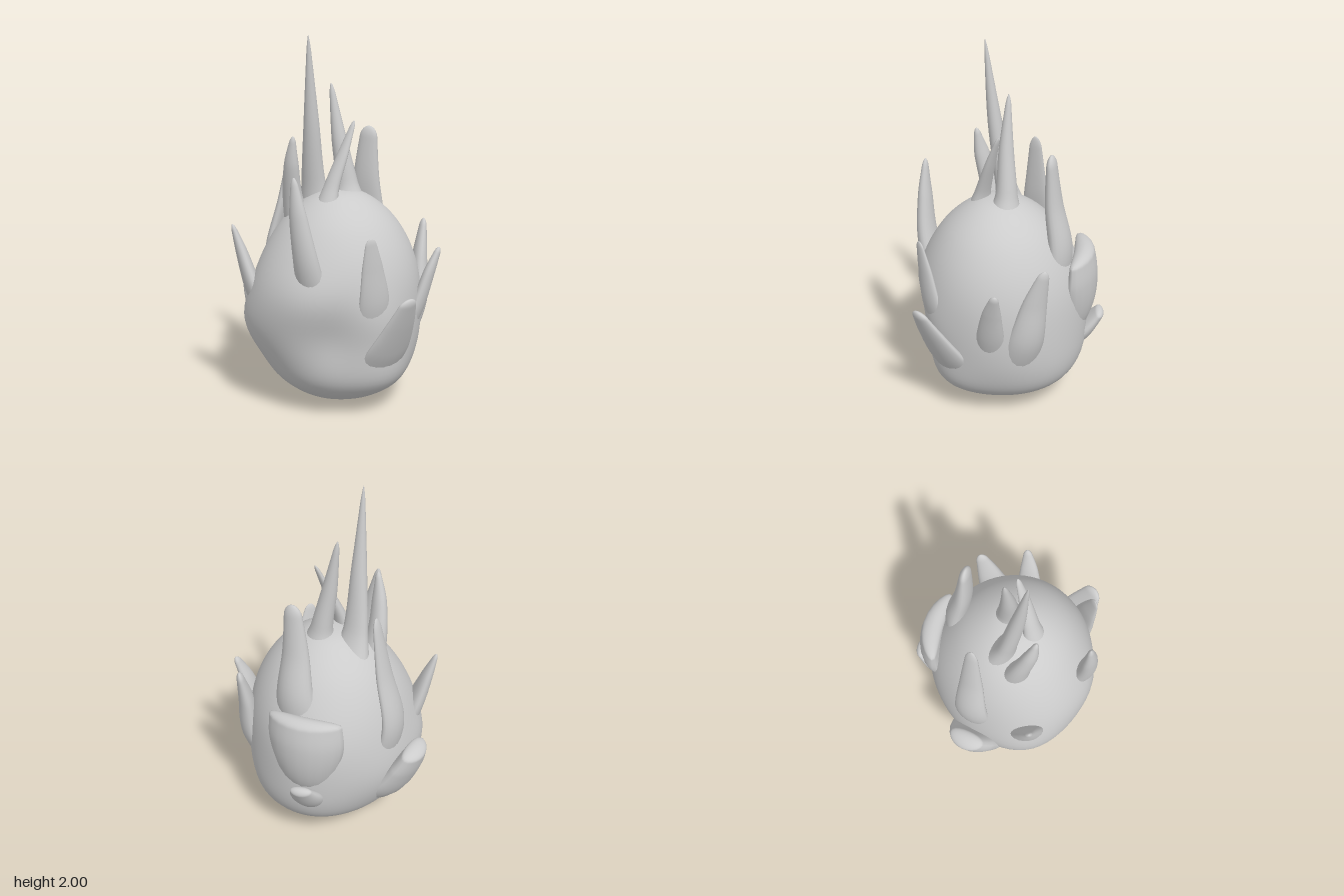
import * as THREE from 'three';
import { mergeVertices } from 'three/addons/utils/BufferGeometryUtils.js';

const V = (x, y, z) => new THREE.Vector3(x, y, z);
const material = new THREE.MeshStandardMaterial({ color: 0xcccccc, roughness: 0.8 });

// Lathed fruit body, pushed outward by soft bumps: [x, y, z, amount, spread]
function bodyGeometry() {
  const profile = new THREE.SplineCurve([
    [0, 0.003], [0.07, 0.01], [0.14, 0.035], [0.25, 0.085], [0.355, 0.18], [0.41, 0.32], [0.435, 0.5],
    [0.43, 0.7], [0.39, 0.86], [0.315, 1.0], [0.22, 1.1], [0.11, 1.165], [0, 1.18],
  ].map(([r, y]) => new THREE.Vector2(r, y)));
  const points = profile.getPoints(60).map((p) => p.setX(Math.max(p.x, 0)));
  let geo = new THREE.LatheGeometry(points, 72);
  const bumps = [
    [-0.1, 0.6, 0.43, 0.05, 0.2], [-0.26, 0.46, 0.36, 0.05, 0.13], [-0.43, 0.42, 0.1, 0.045, 0.18],
    [-0.3, 0.6, -0.31, 0.04, 0.2], [-0.25, 0.25, -0.3, 0.05, 0.16], [0, 0.2, -0.36, 0.03, 0.14],
    [0.12, 0.35, -0.42, 0.02, 0.2], [0.3, 0.45, 0.31, -0.045, 0.13], [0.36, 0.2, 0, 0.035, 0.12],
    [0.2, 0.65, 0.38, 0.025, 0.12], [0.42, 0.55, 0.09, 0.015, 0.1],
  ];
  const pos = geo.attributes.position;
  const p = V();
  for (let i = 0; i < pos.count; i++) {
    p.fromBufferAttribute(pos, i);
    let push = 0;
    for (const [x, y, z, amount, spread] of bumps) {
      push += amount * Math.exp(-p.distanceToSquared(V(x, y, z)) / (2 * spread * spread));
    }
    const r = Math.hypot(p.x, p.z);
    if (r > 1e-4) pos.setXYZ(i, p.x * (1 + push / r), p.y, p.z * (1 + push / r));
  }
  geo.deleteAttribute('uv');
  geo.deleteAttribute('normal');
  geo = mergeVertices(geo, 1e-4);
  geo.computeVertexNormals();
  return geo;
}

// Scale swept through stations [x, y, z, half width, half thickness], its root sunk in the body
// and its tip rounded. The broad side runs around the body unless another direction is given.
function scaleGeometry(stations, wide) {
  const path = new THREE.CatmullRomCurve3(stations.map((s) => V(s[0], s[1], s[2])));
  const size = new THREE.CatmullRomCurve3(stations.map((s) => V(s[3], s[4], 0)));
  const base = stations[0];
  const side = wide ? V(...wide).normalize() : V(base[2], 0, -base[0]).normalize();
  const rings = 36, sides = 20, tip = 0.07, cup = 1.1;
  const positions = [], index = [];
  for (let i = 0; i <= rings; i++) {
    // rings crowd together towards the tip
    const t = Math.sin((i / rings) * Math.PI / 2);
    const c = path.getPoint(t), s = size.getPoint(t), T = path.getTangent(t);
    const N = T.clone().cross(side).normalize();
    const W = N.clone().cross(T);
    const k = Math.max(0, (t - 1 + tip) / tip);
    const round = Math.sqrt(Math.max(0, 1 - k * k)) + 0.001;
    for (let j = 0; j < sides; j++) {
      const a = (j / sides) * Math.PI * 2;
      const across = Math.cos(a) * s.x * round;
      // the edges curl inward around the body
      const q = c.clone().addScaledVector(W, across)
        .addScaledVector(N, Math.sin(a) * s.y * round + cup * across * across);
      positions.push(q.x, q.y, q.z);
      if (i < rings) {
        const b = i * sides + j, d = i * sides + (j + 1) % sides;
        index.push(b, d, d + sides, b, d + sides, b + sides);
      }
    }
  }
  const geo = new THREE.BufferGeometry();
  geo.setAttribute('position', new THREE.Float32BufferAttribute(positions, 3));
  geo.setIndex(index);
  geo.computeVertexNormals();
  return geo;
}

export function createModel() {
  const group = new THREE.Group();
  const add = (name, geo) => {
    const mesh = new THREE.Mesh(geo, material);
    mesh.name = name;
    group.add(mesh);
  };
  add('fruitBody', bodyGeometry());

  // Crown spikes
  add('tallCrownSpike', scaleGeometry([
    [-0.14, 0.97, 0.03, 0.13, 0.1], [-0.125, 1.2, 0.08, 0.07, 0.05],
    [-0.09, 1.55, 0.12, 0.042, 0.038], [-0.06, 2.0, 0.16, 0.006, 0.006]], [1, 0, -0.4]));
  add('rearCrownSpike', scaleGeometry([
    [0.02, 1.02, -0.05, 0.13, 0.13], [0, 1.2, -0.05, 0.06, 0.06],
    [-0.03, 1.45, -0.02, 0.04, 0.04], [-0.07, 1.74, 0, 0.01, 0.01]], [1, 0, 0]));
  add('leaningCrownSpike', scaleGeometry([
    [0.03, 1.02, 0.14, 0.09, 0.07], [0.035, 1.2, 0.09, 0.05, 0.035],
    [0.05, 1.38, 0.02, 0.035, 0.022], [0.06, 1.55, -0.05, 0.012, 0.008]], [1, 0, 0]));
  add('frontCrownSpike', scaleGeometry([
    [-0.14, 0.9, 0.15, 0.1, 0.08], [-0.145, 1.13, 0.205, 0.065, 0.05],
    [-0.11, 1.33, 0.24, 0.045, 0.036], [-0.08, 1.48, 0.25, 0.012, 0.012]], [1, 0, 0.1]));

  // Tall scales rising off the shoulders
  add('frontShoulderSpike', scaleGeometry([
    [0.15, 0.55, 0.28, 0.1, 0.06], [0.18, 0.86, 0.375, 0.075, 0.05],
    [0.16, 1.12, 0.41, 0.05, 0.035], [0.14, 1.32, 0.42, 0.014, 0.012]], [1, 0, -0.3]));
  add('rightShoulderSpike', scaleGeometry([
    [-0.34, 0.43, 0.1, 0.12, 0.06], [-0.43, 0.75, 0.12, 0.1, 0.04],
    [-0.38, 1.08, 0.08, 0.065, 0.028], [-0.335, 1.41, 0.05, 0.028, 0.012]], [0.45, 0, 1]));
  add('backShoulderSpike', scaleGeometry([
    [-0.15, 0.6, -0.27, 0.14, 0.05], [-0.14, 0.92, -0.32, 0.11, 0.06],
    [-0.11, 1.2, -0.29, 0.075, 0.045], [-0.085, 1.48, -0.285, 0.045, 0.022]], [-1, 0, 0.5]));

  // Shorter spikes around the middle
  add('frontRightSpike', scaleGeometry([
    [-0.2, 0.38, 0.31, 0.12, 0.06], [-0.265, 0.68, 0.4, 0.09, 0.045],
    [-0.3, 0.86, 0.44, 0.05, 0.03], [-0.325, 1.0, 0.475, 0.012, 0.01]]));
  add('leftSpike', scaleGeometry([
    [0.32, 0.38, 0.07, 0.1, 0.05], [0.41, 0.65, 0.11, 0.09, 0.032],
    [0.425, 0.86, 0.14, 0.06, 0.022], [0.435, 1.02, 0.165, 0.025, 0.008]]));
  add('backLeftSpike', scaleGeometry([
    [0.24, 0.3, -0.17, 0.09, 0.06], [0.34, 0.56, -0.26, 0.075, 0.04],
    [0.38, 0.75, -0.31, 0.05, 0.03], [0.405, 0.88, -0.355, 0.018, 0.014]]));
  add('backSpike', scaleGeometry([
    [0.16, 0.24, -0.25, 0.12, 0.07], [0.2, 0.53, -0.385, 0.1, 0.06],
    [0.18, 0.78, -0.43, 0.065, 0.04], [0.16, 0.975, -0.475, 0.025, 0.015]]));

  // Broad leaf scales
  add('leftLeaf', scaleGeometry([
    [0.27, 0.17, 0, 0.15, 0.06], [0.42, 0.38, 0.01, 0.145, 0.045],
    [0.51, 0.55, 0.02, 0.1, 0.032], [0.585, 0.71, 0.03, 0.045, 0.018]]));
  add('rightLeaf', scaleGeometry([
    [-0.22, 0.16, 0.08, 0.12, 0.06], [-0.4, 0.33, 0.15, 0.17, 0.075],
    [-0.495, 0.5, 0.18, 0.14, 0.065], [-0.545, 0.63, 0.19, 0.09, 0.05]], [0.45, 0, 1]));
  add('backLeaf', scaleGeometry([
    [-0.2, 0.32, -0.23, 0.08, 0.06], [-0.26, 0.52, -0.335, 0.16, 0.08],
    [-0.285, 0.74, -0.365, 0.21, 0.075], [-0.28, 0.91, -0.365, 0.2, 0.05]], [-0.4, 0, 0.28]));
  add('smallBackLeaf', scaleGeometry([
    [-0.22, 0.22, -0.24, 0.08, 0.05], [-0.31, 0.38, -0.36, 0.09, 0.045],
    [-0.36, 0.51, -0.44, 0.055, 0.025]]));
  return group;
}
